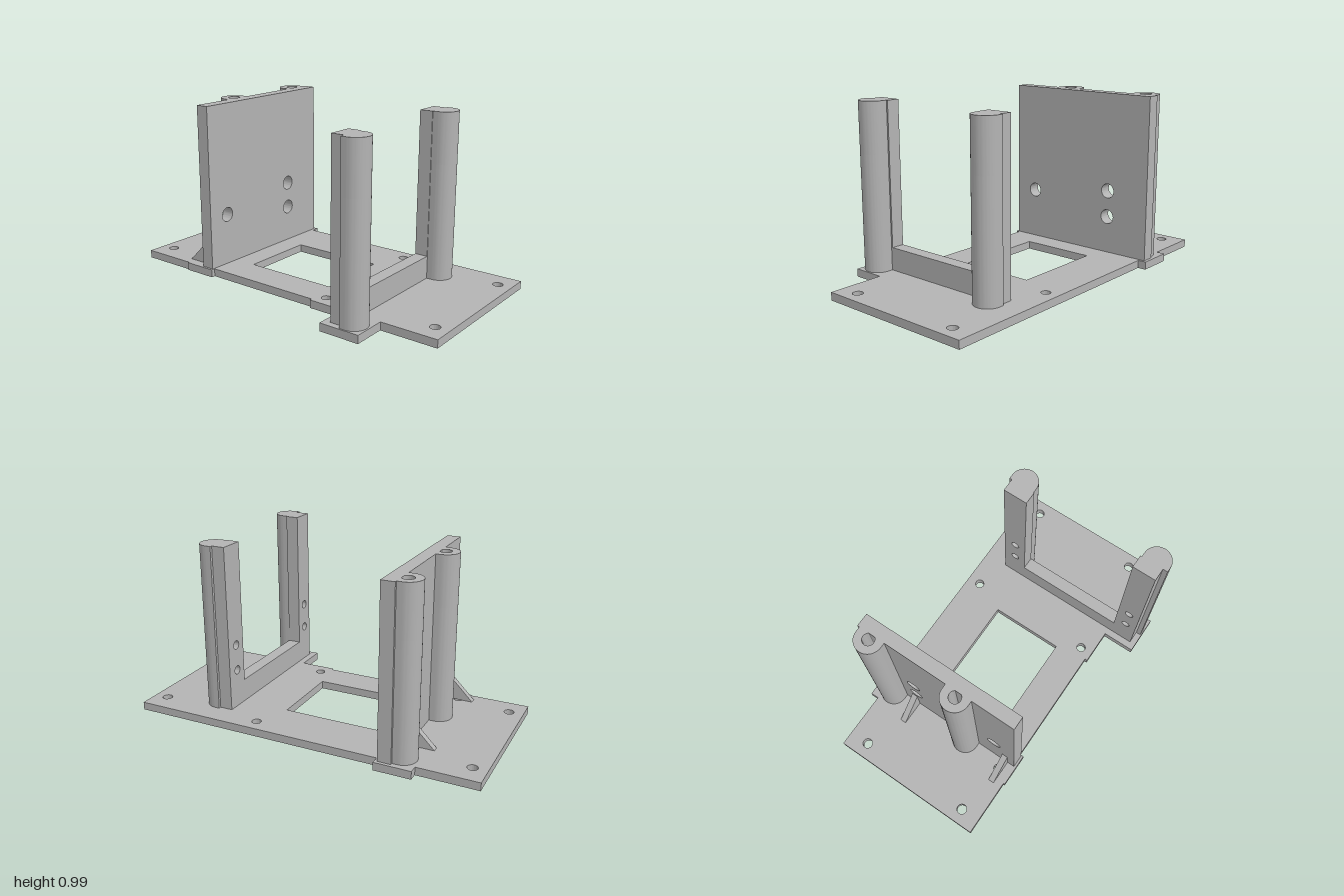
import * as THREE from 'three';
import { toCreasedNormals } from 'three/addons/utils/BufferGeometryUtils.js';

const BASE = 0.045, TOP = 0.985;

// Closed outline with round holes given as [x, y, radius]
function outline(points, holes = []) {
  const shape = new THREE.Shape(points.map(([x, y]) => new THREE.Vector2(x, y)));
  for (const [x, y, r] of holes) shape.holes.push(new THREE.Path().absarc(x, y, r, 0, Math.PI * 2, true));
  return shape;
}

function extrude(shape, depth) {
  return new THREE.ExtrudeGeometry(shape, { depth, bevelEnabled: false, curveSegments: 32 });
}

// Shape drawn in x, z and raised from y0 to y1
function raise(shape, y0, y1) {
  return toCreasedNormals(extrude(shape, y1 - y0).rotateX(Math.PI / 2).translate(0, y1, 0), 0.6);
}

// Shape drawn in z, y and spanning x0 to x1
function across(shape, x0, x1) {
  return toCreasedNormals(extrude(shape, x1 - x0).rotateY(-Math.PI / 2).translate(x1, 0, 0), 0.6);
}

export function createModel() {
  const model = new THREE.Group();
  model.name = 'mountingBracket';
  const grey = new THREE.MeshStandardMaterial({ color: 0xb3b3b3 });
  grey.name = 'grey plastic';

  const add = (name, geometry, parent = model) => {
    const mesh = new THREE.Mesh(geometry, grey);
    mesh.name = name;
    parent.add(mesh);
  };

  // Base plate with tabs, window and screw holes
  const screws = [];
  for (const x of [-0.92, 0.92]) for (const z of [-0.41, 0.27]) screws.push([x, z, 0.028]);
  for (const x of [-0.61, 0.29]) for (const z of [-0.45, 0.31]) screws.push([x, z, 0.026]);
  const base = outline([
    [-1, -0.53], [-0.665, -0.53], [-0.665, -0.578], [-0.46, -0.578], [-0.46, -0.53], [1, -0.53],
    [1, 0.385], [0.68, 0.385], [0.68, 0.575], [0.45, 0.575], [0.45, 0.385], [0.24, 0.385],
    [0.24, 0.37], [-0.47, 0.37], [-0.47, 0.393], [-0.665, 0.393], [-0.665, 0.385], [-1, 0.385],
  ], screws);
  base.holes.push(new THREE.Path([[-0.34, -0.255], [-0.34, 0.18], [0.21, 0.18], [0.21, -0.255]]
    .map(([x, z]) => new THREE.Vector2(x, z))));
  add('basePlate', raise(base, 0, BASE));

  // Tall wall with cable holes
  add('tallWall', across(outline(
    [[-0.56, BASE], [0.38, BASE], [0.38, TOP], [-0.56, TOP]],
    [[0.245, 0.34, 0.042], [-0.296, 0.415, 0.042], [-0.296, 0.26, 0.042]]), -0.55, -0.475));

  // Low wall rising into an upright at each end
  const uprightHoles = [];
  for (const z of [-0.315, 0.475]) for (const y of [0.26, 0.41]) uprightHoles.push([z, y, 0.025]);
  add('uprightWall', across(outline([
    [-0.39, BASE], [0.54, BASE], [0.54, TOP], [0.405, TOP],
    [0.405, 0.175], [-0.247, 0.175], [-0.247, TOP], [-0.39, TOP],
  ], uprightHoles), 0.49, 0.565));

  // Round-fronted posts with a blind screw hole in the top
  const addPost = (x, z, wallX) => {
    const post = new THREE.Group();
    post.name = 'screwPost';
    model.add(post);
    const r = 0.077;
    const section = (holes) => {
      const points = [[wallX, z - r], [wallX, z + r]];
      const side = Math.sign(x - wallX);
      for (let i = 0; i <= 32; i++) {
        const a = Math.PI / 2 - (Math.PI * i) / 32;
        points.push([x + side * r * Math.cos(a), z + r * Math.sin(a)]);
      }
      return outline(points, holes);
    };
    add('postBody', raise(section(), BASE, 0.7), post);
    add('postSocket', raise(section([[x, z, 0.033]]), 0.7, TOP), post);
  };
  for (const z of [-0.47, 0.055]) addPost(-0.578, z, -0.55);
  for (const z of [-0.328, 0.491]) addPost(0.594, z, 0.565);

  // Triangular gussets bracing the tall wall
  for (const z of [-0.335, 0.3]) {
    const triangle = outline([[-0.695, BASE], [-0.55, BASE], [-0.55, 0.19]]);
    add('gusset', extrude(triangle, 0.035).translate(0, 0, z));
  }
  return model;
}
